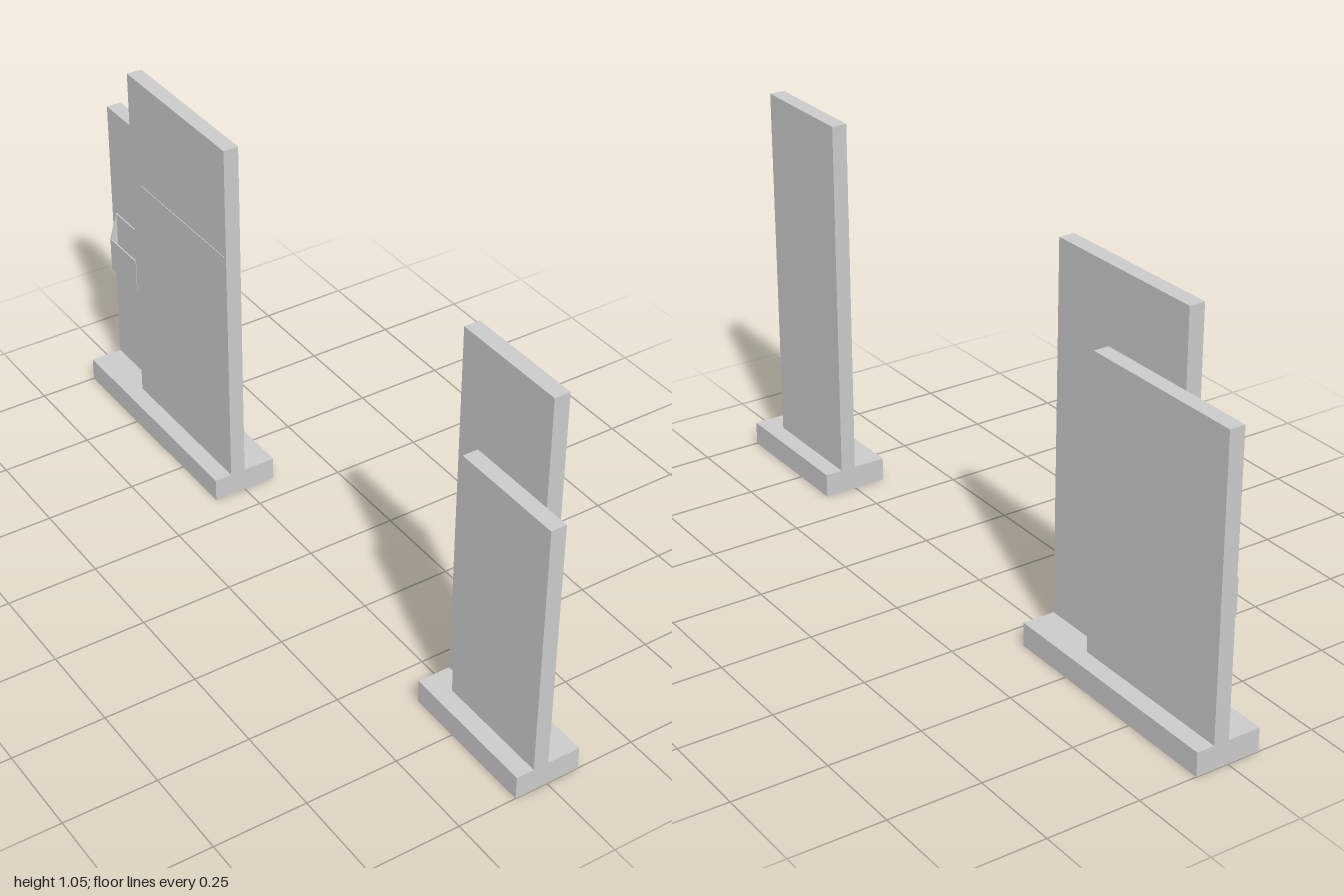
import * as THREE from 'three';

const material = new THREE.MeshStandardMaterial({ color: 0xcccccc, side: THREE.DoubleSide });

// Box given by its extents on each axis
function block(name, [x0, x1], [y0, y1], [z0, z1]) {
  const geometry = new THREE.BoxGeometry(x1 - x0, y1 - y0, z1 - z0);
  geometry.translate((x0 + x1) / 2, (y0 + y1) / 2, (z0 + z1) / 2);
  const mesh = new THREE.Mesh(geometry, material);
  mesh.name = name;
  return mesh;
}

const BASE_TOP = 0.065;
const BASE_HALF = 0.09;
const PANEL = 0.042; // panel thickness

// Plinth with two slabs standing back to back, offset along z
function sign(name, baseZ, leftPanel, rightPanel) {
  const group = new THREE.Group();
  group.name = name;
  group.add(
    block('base', [-BASE_HALF, BASE_HALF], [0, BASE_TOP], baseZ),
    block('leftPanel', [0, PANEL], [BASE_TOP, leftPanel.top], leftPanel.z),
    block('rightPanel', [-PANEL, 0], [BASE_TOP, rightPanel.top], rightPanel.z)
  );
  return group;
}

// Open leaflet pocket with sloping side walls
function leafletHolder() {
  const group = new THREE.Group();
  group.name = 'leafletHolder';
  const [z0, z1] = [-0.975, -0.835];
  const depth = 0.025, wall = 0.004, bottom = 0.365, lip = 0.46, top = 0.535;
  const side = new THREE.Shape([
    new THREE.Vector2(0, bottom),
    new THREE.Vector2(0, top),
    new THREE.Vector2(-wall, top),
    new THREE.Vector2(-depth, lip),
    new THREE.Vector2(-depth, bottom)
  ]);
  for (const z of [z0, z1 - wall]) {
    const geometry = new THREE.ExtrudeGeometry(side, { depth: wall, bevelEnabled: false });
    const mesh = new THREE.Mesh(geometry, material);
    mesh.name = 'holderSide';
    mesh.position.z = z;
    group.add(mesh);
  }
  const inner = [z0 + wall, z1 - wall];
  group.add(
    block('holderBack', [-wall, 0], [bottom, top], inner),
    block('holderFront', [-depth, -depth + wall], [bottom, lip], inner),
    block('holderFloor', [-depth + wall, -wall], [bottom, bottom + wall], inner)
  );
  return group;
}

export function createModel() {
  const model = new THREE.Group();
  model.name = 'signPair';

  const narrowSign = sign('narrowSign', [0.61, 1],
    { top: 1.055, z: [0.61, 0.93] },
    { top: 0.765, z: [0.68, 1] });

  const wideSign = sign('wideSign', [-1, -0.325],
    { top: 0.855, z: [-1, -0.52] },
    { top: 1.055, z: [-0.8, -0.325] });

  // Thin raised line across the tall panel
  wideSign.add(block('dividerLine', [-PANEL - 0.002, -PANEL], [0.742, 0.747], [-0.75, -0.335]));
  wideSign.add(leafletHolder());

  model.add(narrowSign, wideSign);
  return model;
}
